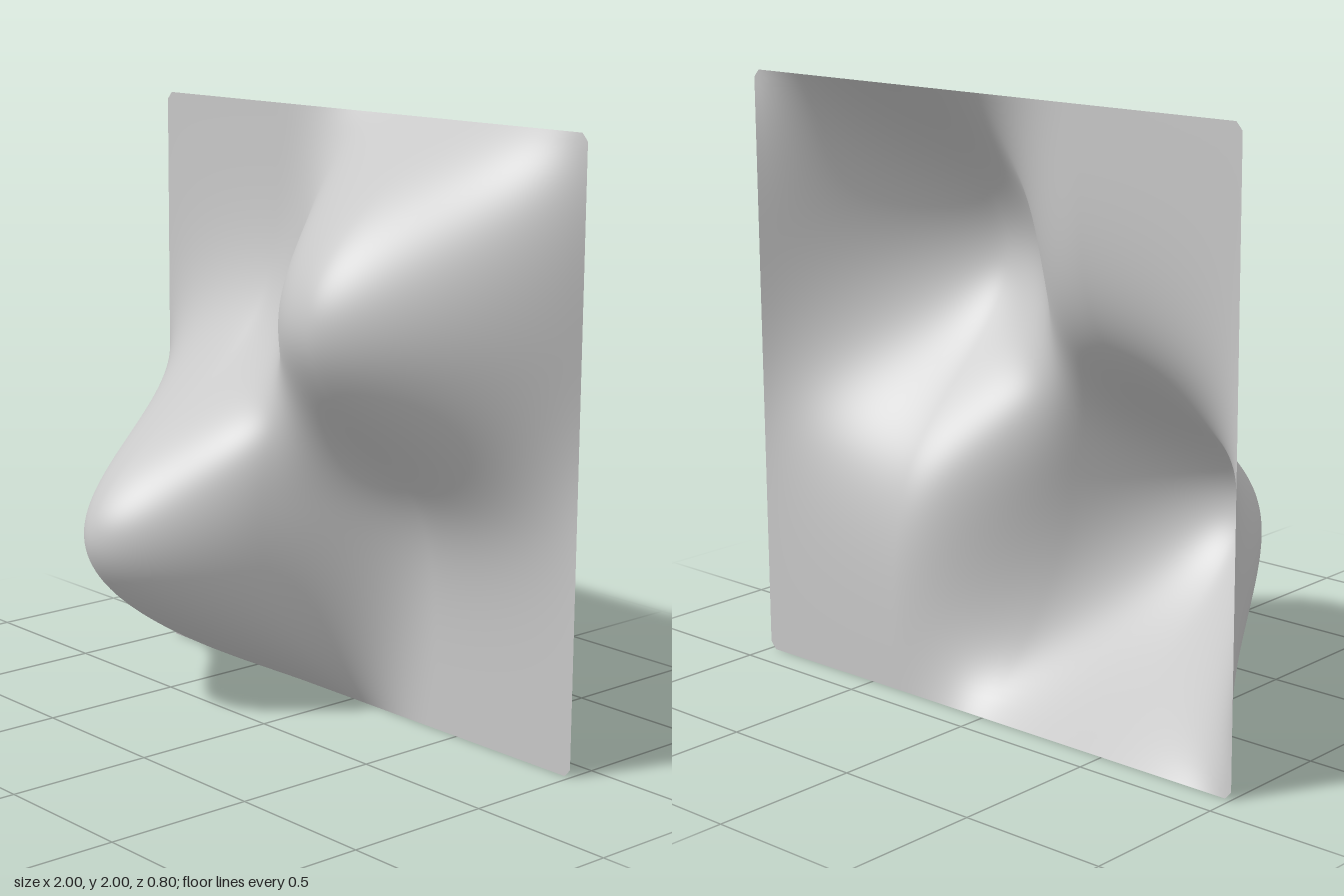
import * as THREE from 'three';

// Clamped B-spline surface: six control points each way, quadratic across and cubic upward
const ACROSS = { degree: 2, knots: [0, 0, 0, 1, 2, 3, 4, 4, 4] };
const UPWARD = { degree: 3, knots: [0, 0, 0, 0, 1, 2, 3, 3, 3, 3] };
const SEGMENTS = 140;
const BASE = -0.4;        // depth of the flat rim
const LOWER_SWELL = 0.873; // raised 2 x 2 control block, lower corner
const UPPER_SWELL = 0.62;  // raised 2 x 2 control block, upper corner

function basis({ degree, knots }, u) {
  let n = knots.slice(0, -1).map((k, i) => (u >= k && u < knots[i + 1] ? 1 : 0));
  for (let d = 1; d <= degree; d++) {
    n = n.slice(0, -1).map((_, i) => {
      const a = knots[i + d] - knots[i];
      const b = knots[i + d + 1] - knots[i + 1];
      return (a ? ((u - knots[i]) / a) * n[i] : 0) + (b ? ((knots[i + d + 1] - u) / b) * n[i + 1] : 0);
    });
  }
  return n;
}

// Position and swell weights of every grid line in one direction
function gridLines(spline) {
  const end = spline.knots[spline.knots.length - 1];
  return Array.from({ length: SEGMENTS + 1 }, (_, i) => {
    const n = basis(spline, Math.min((end * i) / SEGMENTS, end - 1e-9));
    return {
      along: n.reduce((sum, w, k) => sum + w * k * 0.4, 0),
      first: n[1] + n[2],
      second: n[3] + n[4],
    };
  });
}

export function createModel() {
  const surfaceGrey = new THREE.MeshStandardMaterial({ color: 0xc8c8c8, side: THREE.DoubleSide });
  surfaceGrey.name = 'surfaceGrey';

  // Lift the sheet into two diagonal swells
  const columns = gridLines(ACROSS);
  const rows = gridLines(UPWARD);
  const geometry = new THREE.PlaneGeometry(2, 2, SEGMENTS, SEGMENTS);
  const pos = geometry.attributes.position;
  const stride = SEGMENTS + 1;
  for (let j = 0; j < stride; j++) {
    for (let i = 0; i < stride; i++) {
      const a = columns[i];
      const b = rows[SEGMENTS - j];
      const z = BASE + LOWER_SWELL * a.first * b.first + UPPER_SWELL * a.second * b.second;
      pos.setXYZ(j * stride + i, a.along - 1, b.along, z);
    }
  }

  // Clip the four corners slightly
  for (const sx of [-1, 1]) {
    for (const top of [0, 1]) {
      const index = (top ? 0 : SEGMENTS * stride) + (sx > 0 ? SEGMENTS : 0);
      pos.setXYZ(index, sx * 0.989, top ? 1.988 : 0.012, BASE);
    }
  }
  geometry.computeVertexNormals();

  const sheet = new THREE.Mesh(geometry, surfaceGrey);
  sheet.name = 'wavySheet';
  const group = new THREE.Group();
  group.name = 'splineSurface';
  group.add(sheet);
  return group;
}
